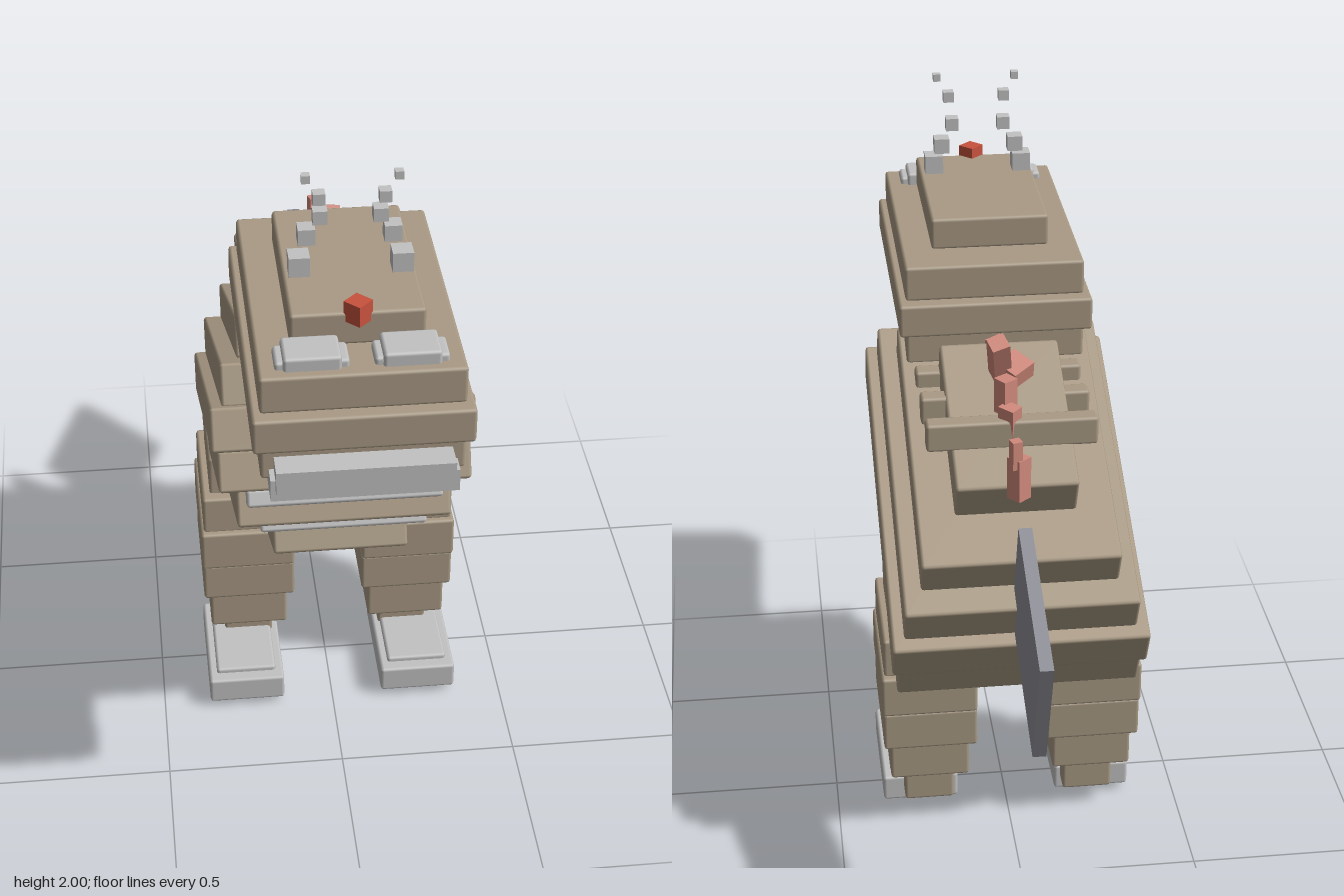
import * as THREE from 'three';
import { RoundedBoxGeometry } from 'three/addons/geometries/RoundedBoxGeometry.js';

const mat = (name, color) => {
  const m = new THREE.MeshStandardMaterial({ color });
  m.name = name;
  return m;
};

export function createModel() {
  const brown = mat('brown hide', 0xa99a84);
  const pale = mat('pale grey', 0xc2c2c3);
  const slate = mat('slate grey', 0x8e8e97);
  const yellow = mat('collar yellow', 0xd6c068);
  const red = mat('horn red', 0xc8523e);
  const pink = mat('spine pink', 0xd08a7c);

  const model = new THREE.Group();
  const group = (name, parent = model) => {
    const g = new THREE.Group();
    g.name = name;
    parent.add(g);
    return g;
  };
  const add = (parent, name, geo, m, pos) => {
    const mesh = new THREE.Mesh(geo, m);
    mesh.name = name;
    mesh.position.set(...pos);
    parent.add(mesh);
    return mesh;
  };
  // Plain box by centre and size
  const box = (parent, name, m, pos, size) => add(parent, name, new THREE.BoxGeometry(...size), m, pos);
  // Slightly bevelled box given by its x, y and z ranges
  const slab = (parent, name, m, [x0, x1], [y0, y1], [z0, z1], r = 0.009) =>
    add(parent, name, new RoundedBoxGeometry(x1 - x0, y1 - y0, z1 - z0, 1, r), m,
      [(x0 + x1) / 2, (y0 + y1) / 2, (z0 + z1) / 2]);

  // Body: tilted stack of slabs [half width, bottom, top, back, front]
  const body = group('body');
  body.rotation.x = -25 * Math.PI / 180;
  [
    [0.165, 1.13, 1.252, 0.15, 0.655],
    [0.268, 1.03, 1.14, -0.015, 0.823],
    [0.317, 0.915, 1.032, -0.093, 0.915],
    [0.35, 0.80, 0.92, -0.132, 0.942],
    [0.335, 0.69, 0.803, -0.12, 0.93],
    [0.287, 0.58, 0.69, -0.052, 0.86],
    [0.185, 0.465, 0.58, 0.11, 0.70],
  ].forEach(([w, y0, y1, z0, z1]) => slab(body, 'bodySlab', brown, [-w, w], [y0, y1], [z0, z1]));
  // Pale belly plates between the lower slabs
  slab(body, 'upperBellyPlate', pale, [-0.262, 0.262], [0.64, 0.688], [0.5, 0.9]);
  slab(body, 'lowerBellyPlate', pale, [-0.225, 0.225], [0.555, 0.59], [0.02, 0.825]);

  // Head: level stack [half width, bottom, top, back, front]
  const head = group('head');
  [
    [0.165, 1.61, 1.70, 0.265, 0.78],
    [0.25, 1.51, 1.61, 0.14, 0.91],
    [0.27, 1.415, 1.51, 0.105, 0.942],
    [0.25, 1.32, 1.415, 0.14, 0.91],
    [0.165, 1.23, 1.32, 0.265, 0.78],
  ].forEach(([w, y0, y1, z0, z1]) => slab(head, 'headSlab', brown, [-w, w], [y0, y1], [z0, z1]));

  // Teeth bars under the snout
  box(head, 'upperTeeth', pale, [0, 1.353, 0.91], [0.435, 0.065, 0.14]);
  box(head, 'middleTeeth', pale, [0, 1.32, 0.89], [0.46, 0.06, 0.14]);
  box(head, 'lowerTeeth', pale, [0, 1.275, 0.81], [0.31, 0.04, 0.12]);

  // Horn on the brow
  box(head, 'horn', red, [0, 1.703, 0.775], [0.05, 0.055, 0.05]).rotation.y = Math.PI / 4;

  // Puffs above the nostrils [x, y, z, size]
  const puffs = [
    [0.127, 1.743, 0.607, 0.052], [0.106, 1.807, 0.58, 0.043], [0.074, 1.865, 0.593, 0.036],
    [0.08, 1.934, 0.63, 0.03], [0.112, 1.99, 0.635, 0.021],
  ];
  for (const s of [-1, 1]) {
    const side = s > 0 ? 'left' : 'right';
    const mir = (a, b) => (s > 0 ? [a, b] : [-b, -a]);

    // Eye plates on top of the snout
    slab(head, side + 'EyePlate', pale, mir(0.03, 0.21), [1.6, 1.63], [0.79, 0.875]);
    slab(head, side + 'EyePlateTop', pale, mir(0.05, 0.19), [1.6, 1.645], [0.78, 0.885]);
    puffs.forEach(([x, y, z, d]) => box(head, side + 'Puff', pale, [s * x, y, z], [d, d, d]));

    // Leg blocks [inner x, outer x, bottom, top, back, front]
    const leg = group(side + 'Leg');
    [
      [0.10, 0.34, 0.60, 0.78, -0.23, 0.062],
      [0.085, 0.362, 0.54, 0.66, -0.265, 0.095],
      [0.10, 0.37, 0.42, 0.545, -0.285, 0.112],
      [0.10, 0.367, 0.30, 0.42, -0.275, 0.10],
      [0.122, 0.348, 0.18, 0.30, -0.248, 0.08],
      [0.162, 0.305, 0.06, 0.18, -0.19, 0.016],
    ].forEach(([x0, x1, y0, y1, z0, z1]) => slab(leg, 'legBlock', brown, mir(x0, x1), [y0, y1], [z0, z1]));
    // Foot: two crossing blocks
    slab(leg, 'footCore', pale, mir(0.168, 0.342), [0, 0.115], [-0.095, 0.205]);
    slab(leg, 'footRim', pale, mir(0.145, 0.365), [0.02, 0.1], [-0.13, 0.24]);

    // Slanting half of the collar
    const top = new THREE.Vector3(s * 0.235, 1.33, 0.425);
    const low = new THREE.Vector3(s * 0.09, 1.125, 0.515);
    const strap = box(model, side + 'CollarStrap', yellow, [0, 0, 0], [0.026, top.distanceTo(low), 0.04]);
    strap.position.copy(top).lerp(low, 0.5);
    strap.quaternion.setFromUnitVectors(new THREE.Vector3(0, 1, 0), top.clone().sub(low).normalize());
  }
  box(model, 'collarBar', yellow, [0, 1.125, 0.515], [0.2, 0.042, 0.04]);

  // Cross bars on the back
  for (const z of [0.085, -0.082, -0.245])
    slab(model, 'backBar', brown, [-0.232, 0.232], [1.25, 1.33], [z - 0.028, z + 0.028]);

  // Crooked spines [position, size, rotation]
  [
    [[-0.03, 1.385, -0.06], [0.075, 0.05, 0.075], [-0.35, 0.7, 0]],
    [[0.015, 1.43, -0.085], [0.05, 0.14, 0.05], [-0.45, 0.3, -0.1]],
    [[0.012, 1.38, -0.21], [0.045, 0.1, 0.045], [0, 0.6, 0]],
    [[0.005, 1.31, -0.245], [0.04, 0.11, 0.05], [-0.1, 0.8, 0]],
    [[0, 1.235, -0.408], [0.045, 0.12, 0.045], [0, 0.7, 0]],
    [[0.01, 1.31, -0.42], [0.028, 0.08, 0.028], [0, 0.3, 0]],
    [[0, 1.36, 0.12], [0.05, 0.07, 0.04], [-0.3, 0.5, 0]],
  ].forEach(([p, d, r]) => box(model, 'spine', pink, p, d).rotation.set(...r));

  // Flat upright tail fin
  box(model, 'tailFin', slate, [0, 0.905, -0.696], [0.036, 0.365, 0.465]).rotation.x = -20 * Math.PI / 180;

  return model;
}
